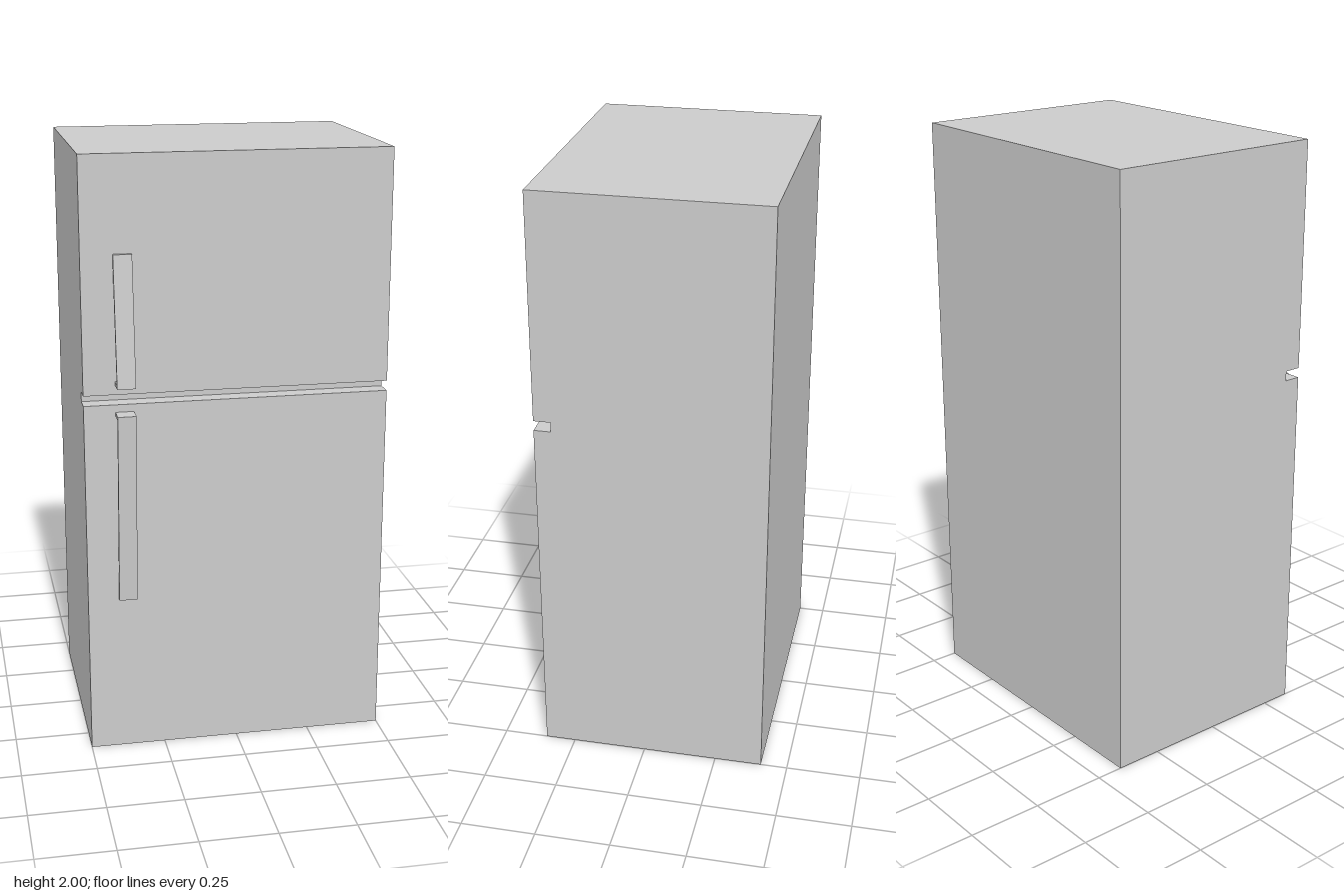
import * as THREE from 'three';

const FRONT = 0.352, BACK = -0.41;
const material = new THREE.MeshStandardMaterial({ color: 0xcccccc, flatShading: true });

// Extrudes a side profile of [z, y] points across x
function sideExtrusion(name, points, width, centerX) {
  const shape = new THREE.Shape(points.map(([z, y]) => new THREE.Vector2(z, y)));
  const geometry = new THREE.ExtrudeGeometry(shape, { depth: width, bevelEnabled: false });
  geometry.rotateY(-Math.PI / 2);
  geometry.translate(centerX + width / 2, 0, 0);
  const mesh = new THREE.Mesh(geometry, material);
  mesh.name = name;
  return mesh;
}

// Slanted handle: a short bracket at baseY and a bar leaning in to the door at tipY
function handle(name, baseY, tipY) {
  const t = 0.012;
  const bracketY = baseY + Math.sign(tipY - baseY) * t;
  return sideExtrusion(name, [
    [FRONT, baseY], [0.41, baseY], [FRONT + t, tipY], [FRONT, tipY],
    [0.41 - t, bracketY], [FRONT, bracketY],
  ], 0.06, -0.368);
}

export function createModel() {
  const fridge = new THREE.Group();
  fridge.name = 'refrigerator';

  // Cabinet with the gap between the freezer and main doors
  const slotZ = 0.295, slotBottom = 1.205, slotTop = 1.238;
  fridge.add(sideExtrusion('cabinet', [
    [BACK, 0], [FRONT, 0], [FRONT, slotBottom], [slotZ, slotBottom],
    [slotZ, slotTop], [FRONT, slotTop], [FRONT, 2], [BACK, 2],
  ], 1, 0));

  // Door handles
  fridge.add(handle('freezerHandle', 1.27, 1.69));
  fridge.add(handle('mainDoorHandle', 1.18, 0.535));
  return fridge;
}
